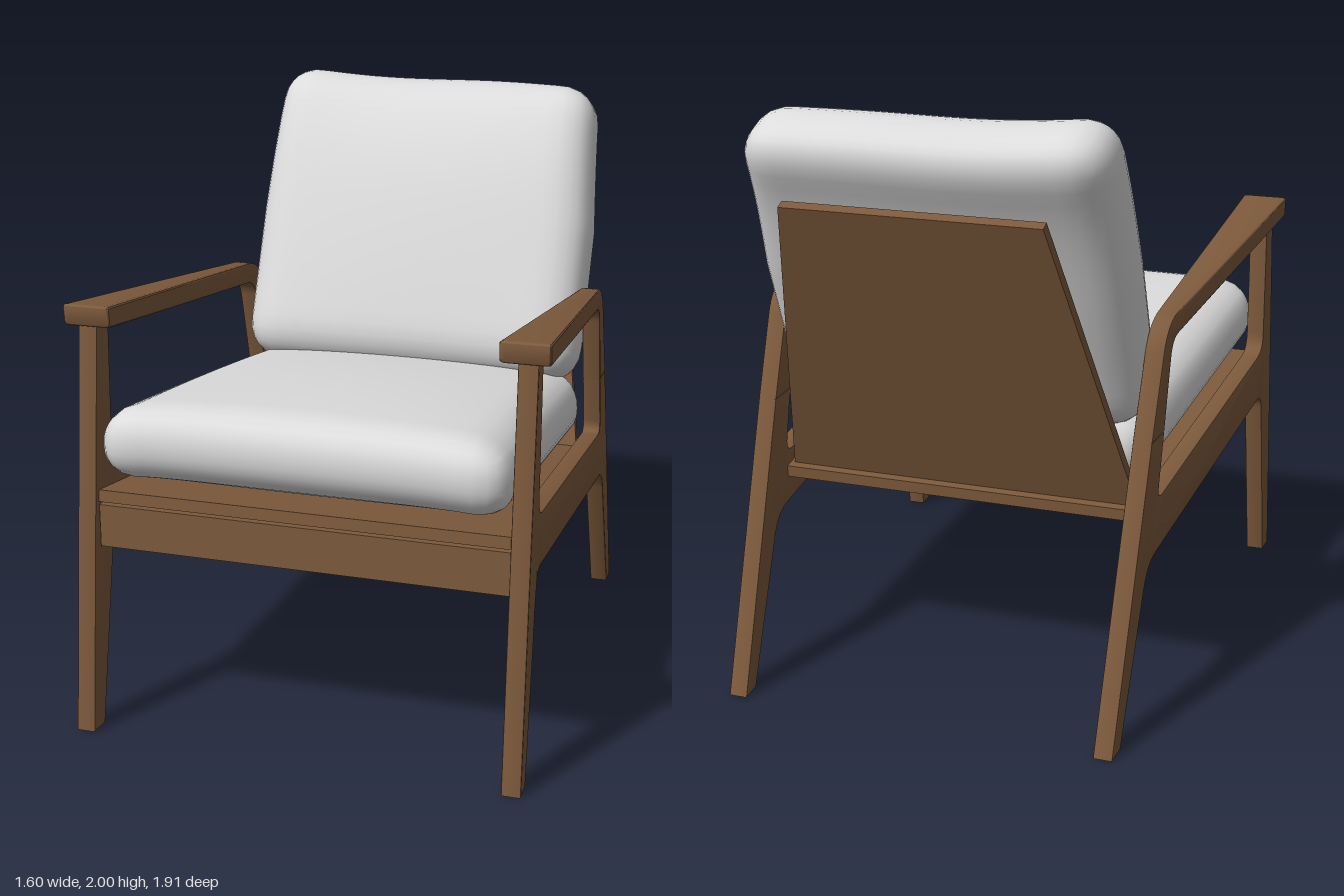
import * as THREE from 'three';
import { mergeVertices, toCreasedNormals } from 'three/addons/utils/BufferGeometryUtils.js';

const wood = new THREE.MeshStandardMaterial({ color: 0x7d5a3c });
wood.name = 'walnut wood';
const fabric = new THREE.MeshStandardMaterial({ color: 0xdcdcdc });
fabric.name = 'light grey fabric';

const { clamp, lerp } = THREE.MathUtils;

// Closed outline from [u, v, cornerRadius] points
function roundedShape(points) {
  const shape = new THREE.Shape();
  const n = points.length;
  points.forEach(([u, v, r = 0], i) => {
    const p = new THREE.Vector2(u, v);
    const toward = ([a, b]) => new THREE.Vector2(a, b).sub(p).setLength(r).add(p);
    const start = toward(points[(i + n - 1) % n]);
    const end = toward(points[(i + 1) % n]);
    if (i === 0) shape.moveTo(start.x, start.y);
    else shape.lineTo(start.x, start.y);
    if (r > 0) shape.quadraticCurveTo(p.x, p.y, end.x, end.y);
  });
  shape.closePath();
  return shape;
}

function extrude(points, depth, bevel) {
  return new THREE.ExtrudeGeometry(roundedShape(points), {
    depth: depth - 2 * bevel, curveSegments: 8, bevelEnabled: bevel > 0,
    bevelThickness: bevel, bevelSize: bevel, bevelOffset: -bevel, bevelSegments: 2,
  });
}

function deform(geometry, rule) {
  const pos = geometry.attributes.position;
  const v = new THREE.Vector3();
  for (let i = 0; i < pos.count; i++) {
    rule(v.fromBufferAttribute(pos, i));
    pos.setXYZ(i, v.x, v.y, v.z);
  }
  return geometry;
}

function addMesh(parent, name, geometry, material) {
  const mesh = new THREE.Mesh(geometry, material);
  mesh.name = name;
  parent.add(mesh);
  return mesh;
}

// Side profiles as [z, y, cornerRadius]
const legProfile = [
  [0.96, 0], [0.822, 1.39], [0.745, 1.385], [0.757, 0.868, 0.07], [-0.52, 0.733, 0.05],
  [-0.468, 0.95], [-0.595, 0.95], [-0.93, 0], [-0.85, 0], [-0.61, 0.543, 0.08],
  [0.76, 0.69, 0.06], [0.885, 0],
];
const armProfile = [
  [0.852, 1.447, 0.015], [-0.455, 1.31, 0.1], [-0.595, 0.95], [-0.468, 0.95],
  [-0.4, 1.24, 0.06], [0.845, 1.375, 0.015],
];
const frameCentre = (z) => 0.64 + (z + 0.93) * 0.049;

// Extruded side part, moved out along the splayed frame; arms widen forward
function sidePart(profile, side, widen) {
  const thickness = 0.065;
  const g = extrude(profile, thickness, 0.006);
  g.translate(0, 0, 0.006 - thickness / 2).rotateY(-Math.PI / 2);
  deform(g, (v) => {
    const t = widen ? clamp((v.z + 0.38) / 1.22, 0, 1) : 0;
    v.x = v.x * lerp(1, 2.46, t) + side * (frameCentre(v.z) - 0.007 * t);
  });
  return toCreasedNormals(g, 0.5);
}

// Flat tapering board starting at its wide end
function taperedBoard(startHalf, endHalf, length, thickness) {
  return extrude([[-startHalf, 0], [startHalf, 0], [endHalf, length], [-endHalf, length]], thickness, 0);
}

// Rounded box with enough vertices to be shaped as a soft cushion
function cushion(half, segments, radius, rule) {
  const g = new THREE.BoxGeometry(half.x * 2, half.y * 2, half.z * 2, ...segments);
  g.deleteAttribute('normal');
  g.deleteAttribute('uv');
  const core = half.clone().subScalar(radius);
  const low = core.clone().negate();
  const inner = new THREE.Vector3();
  deform(g, (v) => {
    inner.copy(v).clamp(low, core);
    v.sub(inner).setLength(radius).add(inner);
    rule(v);
  });
  const smooth = mergeVertices(g, 1e-5);
  smooth.computeVertexNormals();
  return smooth;
}

export function createModel() {
  const chair = new THREE.Group();
  chair.name = 'lounge chair';

  // Side frames with legs, rail and armrest
  for (const [label, side] of [['left', 1], ['right', -1]]) {
    const frame = new THREE.Group();
    frame.name = label + 'SideFrame';
    addMesh(frame, label + 'LegsAndRail', sidePart(legProfile, side, false), wood);
    addMesh(frame, label + 'Armrest', sidePart(armProfile, side, true), wood);
    chair.add(frame);
  }

  // Front rail, seat board and back board
  addMesh(chair, 'frontRail', new THREE.BoxGeometry(1.385, 0.145, 0.06), wood).position.set(0, 0.7075, 0.835);
  const seatBoard = addMesh(chair, 'seatBoard', taperedBoard(0.693, 0.629, 1.39, 0.04), wood);
  seatBoard.position.set(0, 0.79, 0.865);
  seatBoard.rotation.x = -Math.PI / 2 - 0.105;
  const backBoard = addMesh(chair, 'backBoard', taperedBoard(0.62, 0.43, 1.13, 0.035), wood);
  backBoard.position.set(0, 0.66, -0.476);
  backBoard.rotation.x = -0.403;

  // Seat cushion: domed, narrowing and sloping down to the back
  const seatHalf = new THREE.Vector3(0.69, 0.13, 0.7);
  const seat = cushion(seatHalf, [24, 8, 24], 0.12, (v) => {
    const a = v.x / seatHalf.x, c = v.z / seatHalf.z;
    v.y *= 0.94 + 0.3 * (1 - a * a) * (1 - c * c);
    v.y += 0.1 * v.z - 0.02 * a ** 6;
    v.x *= lerp(0.91, 1, (c + 1) / 2);
    v.z += 0.015 * Math.max(0, c) * (a * a - 0.5);
  });
  addMesh(chair, 'seatCushion', seat, fabric).position.set(0, 0.94, 0.21);

  // Back cushion: leaning, with the top curling backward
  const backHalf = new THREE.Vector3(0.63, 0.56, 0.155);
  const back = cushion(backHalf, [24, 24, 8], 0.13, (v) => {
    const a = v.x / backHalf.x, b = v.y / backHalf.y;
    const top = Math.max(0, b);
    v.z *= 0.97 + 0.24 * (1 - a * a) * (1 - b * b);
    v.z -= 0.09 * top ** 3 * (1 - 0.4 * a * a);
    v.x = v.x * (1 - 0.05 * top) - 0.015 * top;
    v.y -= top * (0.014 * a - 0.006 * Math.sin(4 * a));
  });
  const backCushion = addMesh(chair, 'backCushion', back, fabric);
  backCushion.position.set(0, 1.48, -0.565);
  backCushion.rotation.x = -0.4;

  return chair;
}
